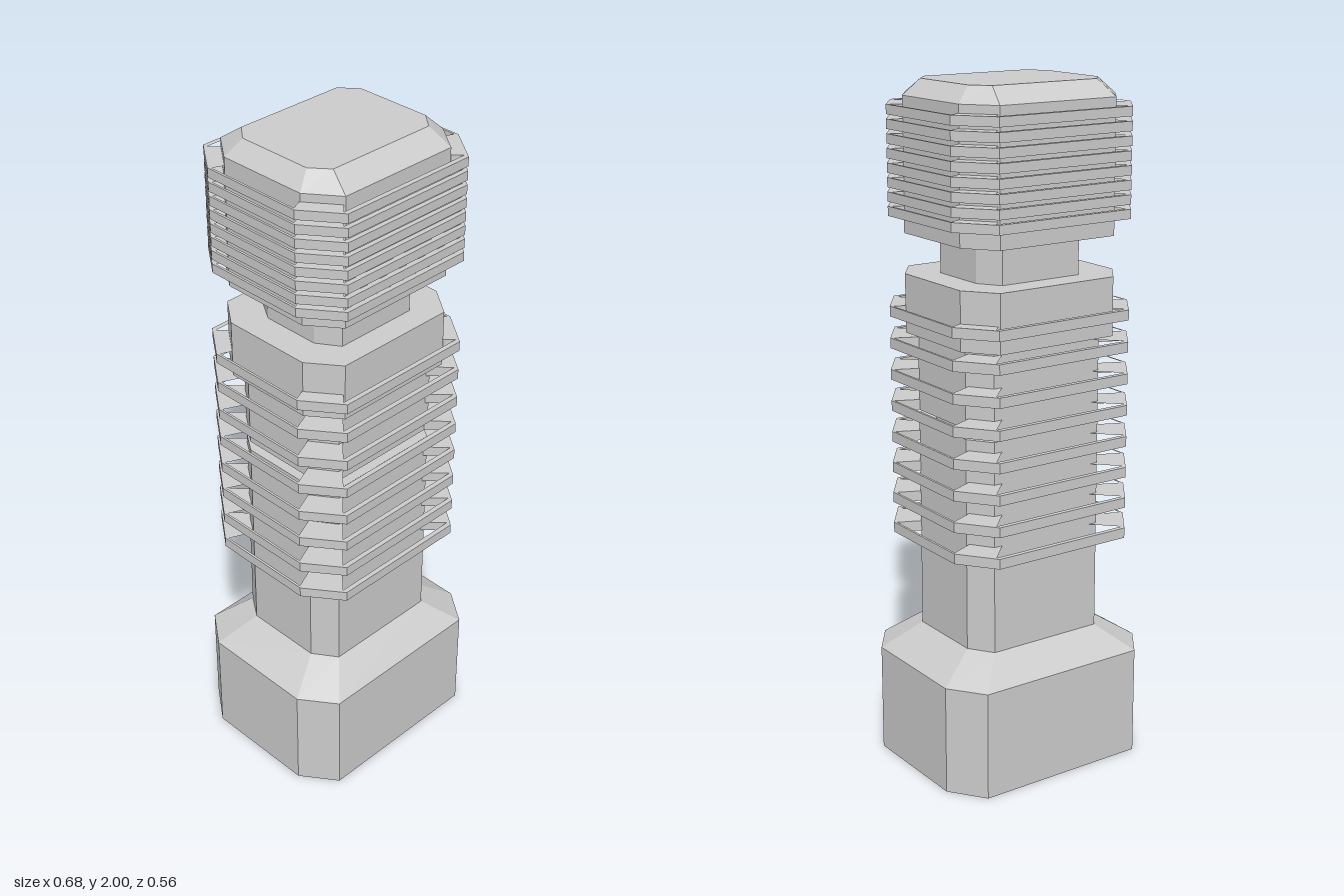
import * as THREE from 'three';

const material = new THREE.MeshStandardMaterial({ color: 0xcccccc, flatShading: true });
const OFFSET_Z = -0.006; // everything above the base sits slightly back

// Chamfered rectangle: half sizes x, z and where the flat sides end, cx, cz
const octagon = ([x, cx, z, cz]) => [
  [-cx, z], [cx, z], [x, cz], [x, -cz],
  [cx, -z], [-cx, -z], [-x, -cz], [-x, cz],
];

// Closed solid through chamfered rectangles, each given as [y, outline]
function loft(sections) {
  const rings = sections.map(([y, outline]) =>
    octagon(outline).map(([x, z]) => new THREE.Vector3(x, y, z)));
  const top = rings[rings.length - 1];
  const bottom = rings[0];
  const points = [];
  for (let r = 0; r + 1 < rings.length; r++) {
    for (let i = 0; i < 8; i++) {
      const j = (i + 1) % 8;
      const [a, b, c, d] = [rings[r][i], rings[r][j], rings[r + 1][j], rings[r + 1][i]];
      points.push(a, b, c, a, c, d);
    }
  }
  for (let i = 1; i < 7; i++) {
    points.push(top[0], top[i], top[i + 1], bottom[0], bottom[i + 1], bottom[i]);
  }
  const geometry = new THREE.BufferGeometry().setFromPoints(points);
  geometry.computeVertexNormals();
  return geometry;
}

// Chamfered plate, slotted on all four sides so only its corners reach the core
function finGeometry(thickness) {
  const toPoints = (list) => list.map(([x, y]) => new THREE.Vector2(x, y));
  const shape = new THREE.Shape(toPoints(octagon([0.3, 0.22, 0.268, 0.16])));
  for (const s of [1, -1]) {
    shape.holes.push(
      new THREE.Path(toPoints([[-0.22, s * 0.253], [0.22, s * 0.253], [0.15, s * 0.18], [-0.15, s * 0.18]])),
      new THREE.Path(toPoints([[s * 0.293, -0.152], [s * 0.293, 0.152], [s * 0.21, 0.115], [s * 0.21, -0.115]])),
    );
  }
  const geometry = new THREE.ExtrudeGeometry(shape, { depth: thickness, bevelEnabled: false });
  return geometry.translate(0, 0, -thickness / 2).rotateX(-Math.PI / 2);
}

export function createModel() {
  const model = new THREE.Group();
  model.name = 'finnedPost';

  const add = (name, geometry, parent = model, y = 0, z = 0) => {
    const mesh = new THREE.Mesh(geometry, material);
    mesh.name = name;
    mesh.position.set(0, y, z);
    parent.add(mesh);
  };

  // Outlines shared by several parts
  const foot = [0.34, 0.265, 0.278, 0.175];
  const shaft = [0.228, 0.18, 0.19, 0.12];
  const groove = [0.185, 0.15, 0.155, 0.1];
  const collar = [0.26, 0.192, 0.231, 0.14];
  const neck = [0.172, 0.13, 0.155, 0.09];
  const crown = [0.215, 0.173, 0.168, 0.117];

  // Base with sloped shoulder
  add('base', loft([[0, foot], [0.325, foot], [0.4, shaft]]));

  // Stacked core
  add('lowerShaft', loft([[0.4, shaft], [1.03, shaft]]));
  add('shaftGroove', loft([[1.03, groove], [1.06, groove]]), model, 0, OFFSET_Z / 2);
  add('upperShaft', loft([[1.06, shaft], [1.29, shaft]]));
  add('collar', loft([[1.29, collar], [1.46, collar]]), model, 0, OFFSET_Z);
  add('neck', loft([[1.46, neck], [1.575, neck]]), model, 0, OFFSET_Z / 2);
  add('head', loft([[1.575, collar], [1.955, collar], [2, crown]]), model, 0, OFFSET_Z);

  // Widely spaced fins on the shaft, tightly spaced fins on the head
  const addFins = (name, count, firstY, pitch, thickness) => {
    const group = new THREE.Group();
    group.name = name + 's';
    const geometry = finGeometry(thickness);
    for (let i = 0; i < count; i++) add(name, geometry, group, firstY + i * pitch, OFFSET_Z);
    model.add(group);
  };
  addFins('shaftFin', 8, 0.706, 0.0925, 0.03);
  addFins('headFin', 8, 1.638, 0.04, 0.027);

  return model;
}
